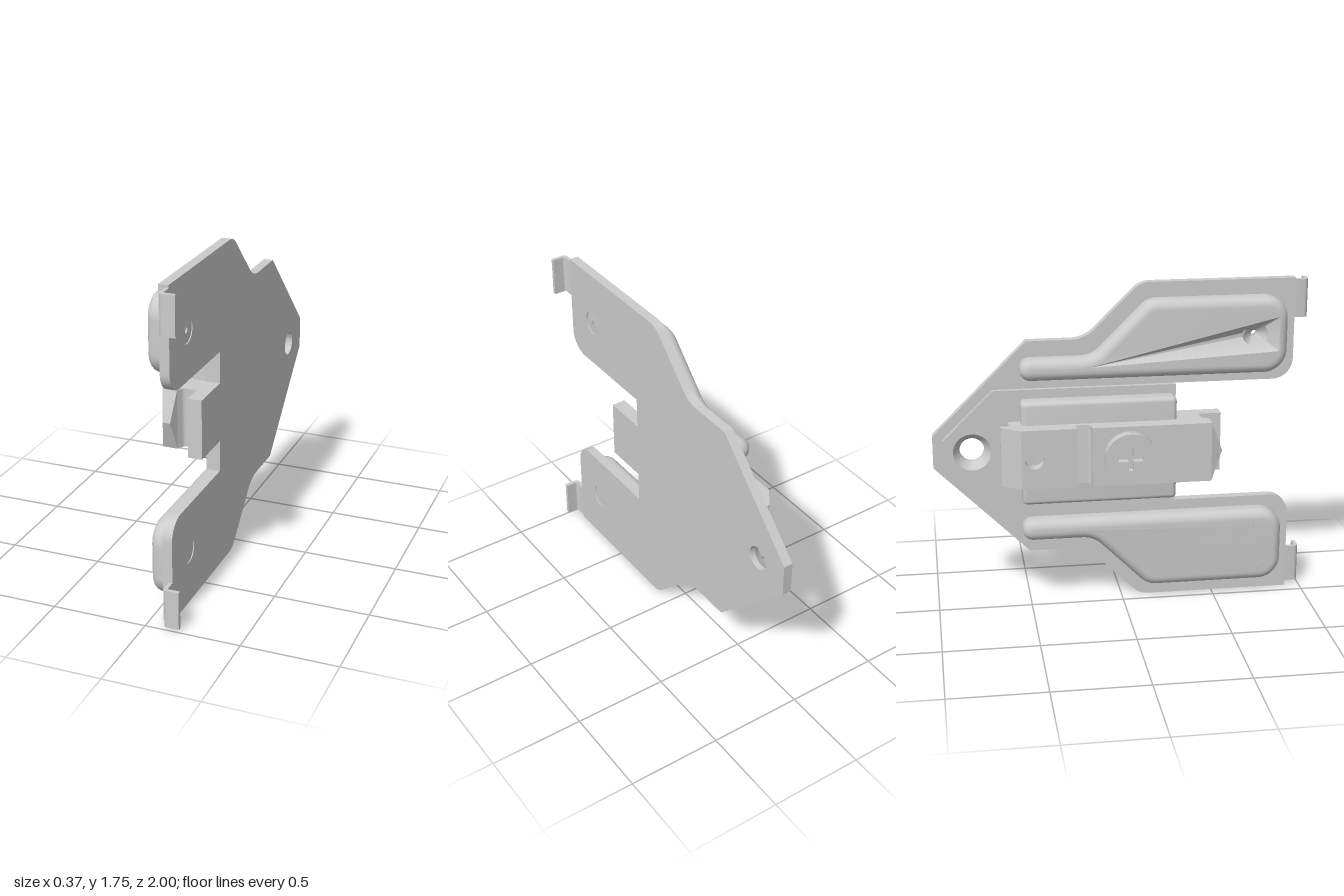
import * as THREE from 'three';
import { toCreasedNormals } from 'three/addons/utils/BufferGeometryUtils.js';
import { RoundedBoxGeometry } from 'three/addons/geometries/RoundedBoxGeometry.js';

const material = new THREE.MeshStandardMaterial({ color: 0xcccccc, side: THREE.DoubleSide });
const MID = 0.875; // height of the mirror plane; heights below are measured from it

function add(parent, name, geometry, crease = 0.5) {
  const mesh = new THREE.Mesh(toCreasedNormals(geometry, crease), material);
  mesh.name = name;
  parent.add(mesh);
  return mesh;
}

// Closed outline from [x, y, cornerRadius] points
function outline(points) {
  const shape = new THREE.Shape();
  const n = points.length;
  points.forEach(([x, y, r = 0], i) => {
    const p = new THREE.Vector2(x, y);
    const toPrev = new THREE.Vector2(...points[(i + n - 1) % n].slice(0, 2)).sub(p).normalize();
    const toNext = new THREE.Vector2(...points[(i + 1) % n].slice(0, 2)).sub(p).normalize();
    const turn = Math.PI - Math.acos(THREE.MathUtils.clamp(toPrev.dot(toNext), -1, 1));
    const t = r * Math.tan(turn / 2);
    const h = t - r * (4 / 3) * Math.tan(turn / 4);
    const at = (dir, d) => p.clone().addScaledVector(dir, d);
    const a = at(toPrev, t), b = at(toNext, t), ca = at(toPrev, h), cb = at(toNext, h);
    if (i === 0) shape.moveTo(a.x, a.y);
    else shape.lineTo(a.x, a.y);
    if (r > 0) shape.bezierCurveTo(ca.x, ca.y, cb.x, cb.y, b.x, b.y);
  });
  return shape;
}

const hole = (z, y, r) => new THREE.Path().absarc(-z, y, r, 0, Math.PI * 2, true);

// [z, y, r] outline given a thickness along x
const sideOutline = (points) => outline(points.map(([z, y, r]) => [-z, y, r]));
function slabX(shape, x0, x1) {
  return new THREE.ExtrudeGeometry(shape, { depth: x1 - x0, bevelEnabled: false, curveSegments: 16 })
    .rotateY(Math.PI / 2).translate(x0, 0, 0);
}

// [x, z, r] outline given a height along y
function slabY(points, y0, y1) {
  const shape = outline(points.map(([x, z, r]) => [x, -z, r]));
  return new THREE.ExtrudeGeometry(shape, { depth: y1 - y0, bevelEnabled: false, curveSegments: 10 })
    .rotateX(-Math.PI / 2).translate(0, y0, 0);
}

const mirrored = (half) => [...half, ...half.slice().reverse().map(([z, y, r]) => [z, -y, r])];

// Raised arm rib with rounded edges and a conical screw seat
function ribGeometry(side) {
  const shape = sideOutline([
    [0.87, 0.385, 0.12], [0.87, 0.795, 0.12], [0.133, 0.795, 0.12],
    [-0.162, 0.5, 0.15], [-0.54, 0.5, 0.056], [-0.54, 0.385, 0.056],
  ].map(([z, y, r]) => [z, y * side, r]));
  shape.holes.push(hole(0.705, 0.585 * side, 0.065));
  const bevel = 0.05;
  const geo = new THREE.ExtrudeGeometry(shape, {
    depth: 0.04, bevelThickness: bevel, bevelSize: bevel, bevelOffset: -bevel,
    bevelSegments: 6, curveSegments: 16,
  }).rotateY(Math.PI / 2).translate(-0.03 + bevel, 0, 0);
  const p = geo.attributes.position;
  for (let i = 0; i < p.count; i++) {
    const r = Math.hypot(p.getZ(i) - 0.705, p.getY(i) - 0.585 * side);
    if (r < 0.117 && p.getX(i) < 0.03) p.setX(i, -0.03 + (0.115 - r));
  }
  return geo;
}

export function createModel() {
  const model = new THREE.Group();
  model.name = 'mountingPlate';
  const body = new THREE.Group();
  body.name = 'plateBody';
  body.position.y = MID;
  model.add(body);

  // Base plate with two arms, a central tongue and a pointed tail
  const plate = sideOutline(mirrored([
    [0.53, 0.16], [0.285, 0.16], [0.285, 0.33], [0.92, 0.33, 0.11], [0.92, 0.875],
    [0.1, 0.875, 0.12], [-0.195, 0.583, 0.18], [-0.5, 0.583], [-1, 0.087],
  ]));
  for (const s of [1, -1]) plate.holes.push(hole(0.705, 0.585 * s, 0.065));
  plate.holes.push(hole(-0.795, 0, 0.1));
  add(body, 'basePlate', slabX(plate, 0.065, 0.115));

  // Stepped layer on the middle of the plate
  const layer = sideOutline(mirrored([[0.53, 0.16], [0.285, 0.16], [0.285, 0.33], [-0.68, 0.33], [-0.95, 0.065]]));
  layer.holes.push(hole(-0.795, 0, 0.1));
  add(body, 'raisedLayer', slabX(layer, 0.04, 0.066));

  // Conical screw seat in the tail
  const seat = [[0.1, 0.04], [0.065, 0.085], [0.065, 0.115], [0.1, 0.115]].map((v) => new THREE.Vector2(...v));
  add(body, 'tailScrewSeat', new THREE.LatheGeometry(seat, 40).rotateZ(-Math.PI / 2).translate(0, 0, -0.795));

  for (const s of [1, -1]) {
    add(body, s > 0 ? 'upperRib' : 'lowerRib', ribGeometry(s));
    // Bent stop tab at the end of each arm
    const [y0, y1] = s > 0 ? [0.655, 0.86] : [-0.86, -0.655];
    add(body, s > 0 ? 'upperTab' : 'lowerTab', slabY([
      [0.095, 0.9], [0.115, 0.9], [0.115, 0.98, 0.008], [0.18, 0.98], [0.18, 1], [0.095, 1, 0.025],
    ], y0, y1));
  }

  // Wide foot under the central block
  add(body, 'blockFoot', new RoundedBoxGeometry(0.105, 0.565, 0.82, 3, 0.025).translate(0.0085, 0, -0.13));

  // Central block with cross groove and chamfered tail
  add(body, 'centralBlock', slabY([
    [-0.13, 0.45], [-0.13, -0.18], [-0.07, -0.18, 0.03], [-0.07, -0.55], [-0.13, -0.55],
    [-0.06, -0.65], [-0.035, -0.65], [-0.035, -0.605, 0.015], [0.05, -0.605], [0.05, 0.41],
    [-0.03, 0.41, 0.02], [-0.05, 0.45],
  ], -0.16, 0.16));

  // Drilled pad between the groove and the chamfer
  const pad = sideOutline([[-0.55, -0.16], [-0.26, -0.16], [-0.26, 0.16], [-0.55, 0.16]]);
  pad.holes.push(hole(-0.48, 0, 0.05));
  add(body, 'drilledPad', slabX(pad, -0.13, -0.069));

  // Hipped nose of the block
  const nose = new THREE.BoxGeometry(0.08, 0.32, 0.06).translate(-0.09, 0, 0.48);
  const p = nose.attributes.position;
  for (let i = 0; i < p.count; i++) {
    if (p.getZ(i) > 0.48) p.setXYZ(i, p.getX(i) < -0.09 ? -0.105 : -0.065, 0, 0.51);
  }
  add(body, 'blockNose', nose, 0.1);

  // Screw with a cross recess
  const screw = new THREE.Group();
  screw.name = 'screw';
  screw.position.z = 0.015;
  body.add(screw);
  const head = new THREE.Shape().absarc(0, 0, 0.135, 0, Math.PI * 2);
  const a = 0.013, b = 0.065;
  head.holes.push(outline([
    [a, a], [a, b], [-a, b], [-a, a], [-b, a], [-b, -a],
    [-a, -a], [-a, -b], [a, -b], [a, -a], [b, -a], [b, a],
  ]));
  add(screw, 'screwHead', slabX(head, -0.185, -0.14));
  add(screw, 'screwCore', new THREE.CylinderGeometry(0.135, 0.135, 0.02, 40).rotateZ(Math.PI / 2).translate(-0.135, 0, 0));

  return model;
}
